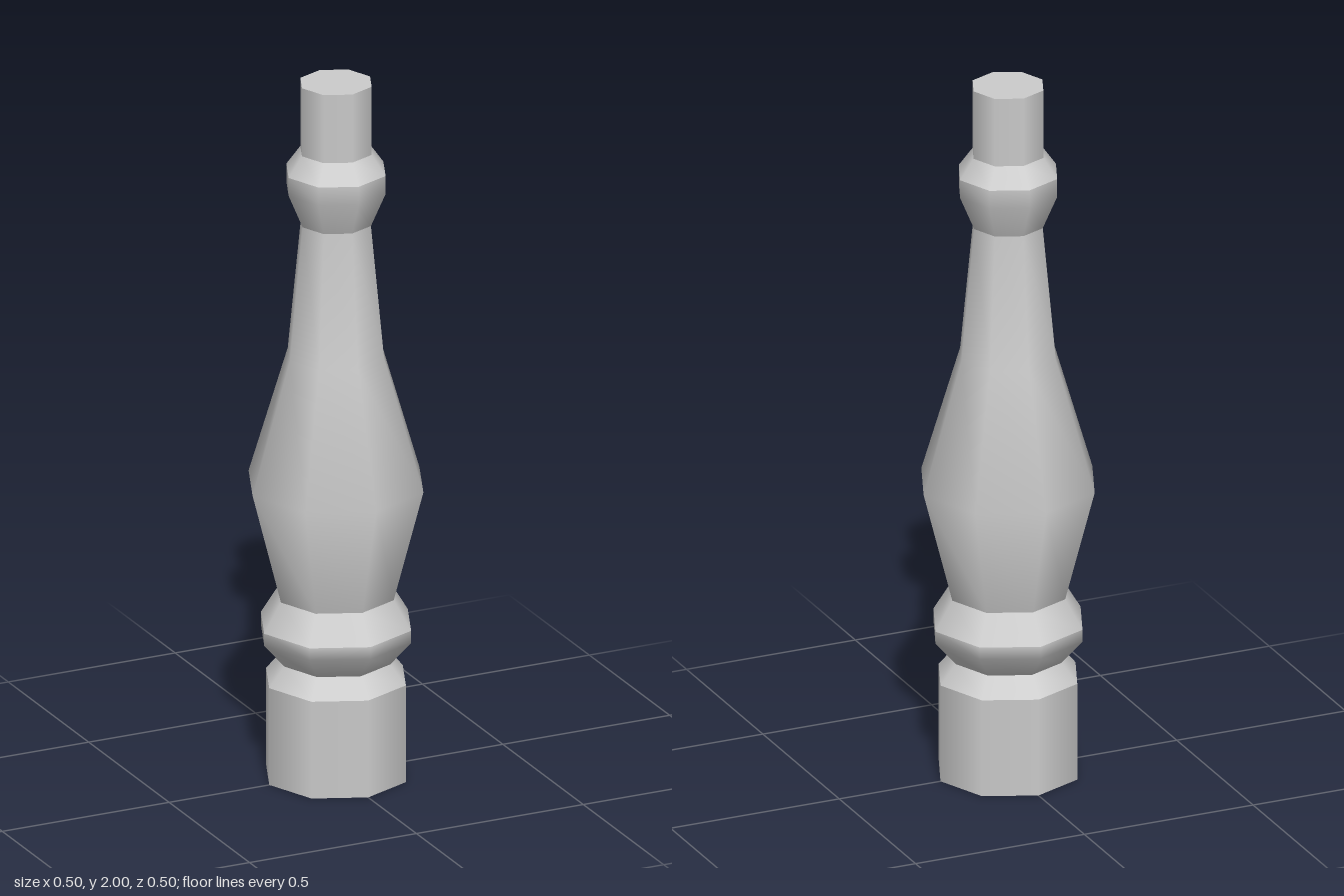
import * as THREE from 'three';

// Eight-sided turned baluster: each part is a list of smooth runs, creased where runs meet
const SIDES = 8;
const parts = {
  base: [
    [[0, 0], [0.2, 0]],
    [[0.2, 0], [0.2, 0.28]],
    [[0.2, 0.28], [0.155, 0.335]],
  ],
  lowerCollar: [
    [[0.155, 0.335], [0.215, 0.405], [0.215, 0.44]],
    [[0.215, 0.44], [0.165, 0.522]],
  ],
  vaseBody: [
    [[0.165, 0.522], [0.25, 0.845], [0.138, 1.215], [0.1, 1.597]],
  ],
  upperCollar: [
    [[0.1, 1.597], [0.142, 1.695], [0.142, 1.747]],
    [[0.142, 1.747], [0.102, 1.803]],
  ],
  topPin: [
    [[0.102, 1.803], [0.102, 2]],
    [[0.102, 2], [0, 2]],
  ],
};

export function createModel() {
  const model = new THREE.Group();
  model.name = 'baluster';
  const material = new THREE.MeshStandardMaterial({ color: 0xcccccc });

  for (const [name, runs] of Object.entries(parts)) {
    const part = new THREE.Group();
    part.name = name;
    for (const run of runs) {
      const profile = run.map(([r, y]) => new THREE.Vector2(r, y));
      const mesh = new THREE.Mesh(new THREE.LatheGeometry(profile, SIDES), material);
      mesh.name = name + 'Surface';
      part.add(mesh);
    }
    model.add(part);
  }
  return model;
}
